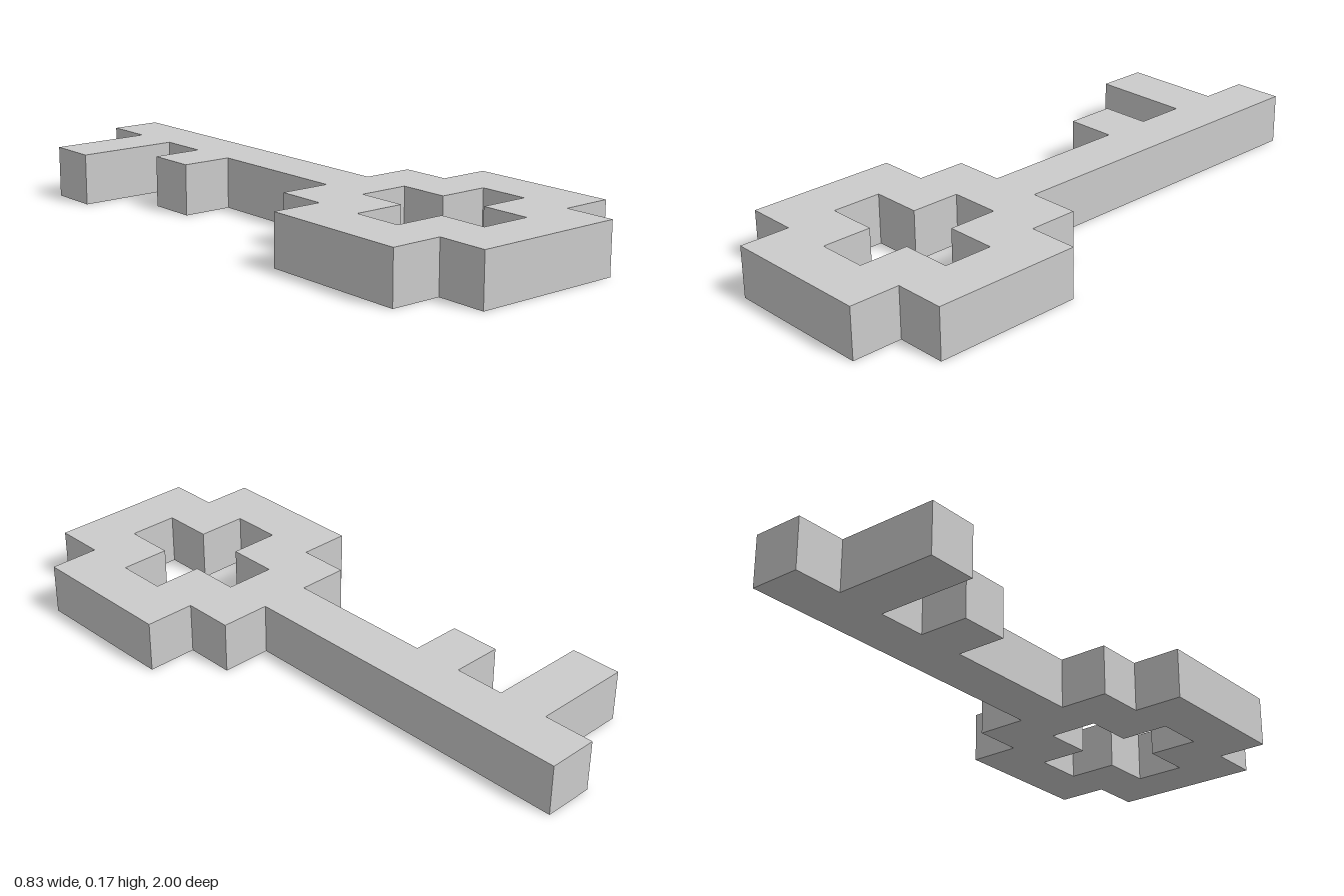
import * as THREE from 'three';

const U = 1 / 6; // one pixel of the blocky key

// Outline points in pixel units: x across, y along the key (towards the front)
const toPoints = (pairs) => pairs.map(([x, y]) => new THREE.Vector2(x * U, y * U));

// Closes a right-hand half outline with its mirror image
const mirrored = (half) => [...half, ...half.map(([x, y]) => [-x, y]).reverse()];

export function createModel() {
  const group = new THREE.Group();
  group.name = 'pixelKey';

  // Right half of the bow, from the shaft to the front end
  const bowHalf = [[0.5, 1], [1.5, 1], [1.5, 2], [2.5, 2], [2.5, 5], [1.5, 5], [1.5, 6]];

  // Shaft with a short and a long tooth on the -x side
  const shaftAndTeeth = [
    [-0.5, -2], [-1.5, -2], [-1.5, -3], [-0.5, -3],
    [-0.5, -4], [-2.5, -4], [-2.5, -5], [-0.5, -5],
    [-0.5, -6], [0.5, -6],
  ];
  const shape = new THREE.Shape(toPoints([...mirrored(bowHalf), ...shaftAndTeeth]));

  // Cross-shaped hole through the bow
  const holeHalf = [[0.5, 2], [0.5, 3], [1.5, 3], [1.5, 4], [0.5, 4], [0.5, 5]];
  shape.holes.push(new THREE.Path(toPoints(mirrored(holeHalf))));

  // Lay the extrusion flat, standing on y = 0
  const geometry = new THREE.ExtrudeGeometry(shape, { depth: U, bevelEnabled: false });
  geometry.rotateX(Math.PI / 2).translate(0, U, 0);

  const key = new THREE.Mesh(
    geometry,
    new THREE.MeshStandardMaterial({ color: 0xcccccc, flatShading: true }),
  );
  key.name = 'keyBody';
  group.add(key);
  return group;
}
